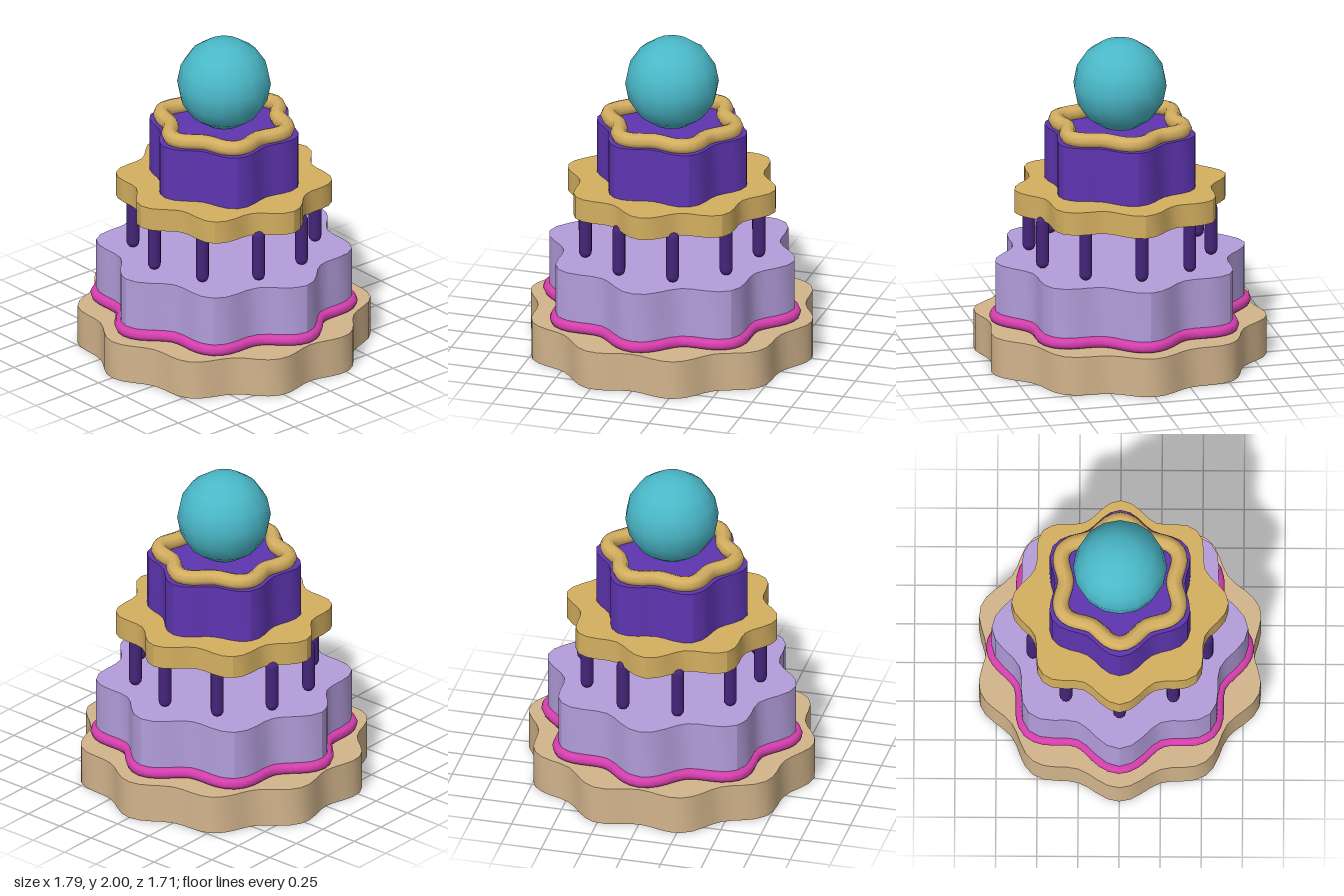
import * as THREE from 'three';
import { toCreasedNormals } from 'three/addons/utils/BufferGeometryUtils.js';

const mat = (name, color) => {
  const m = new THREE.MeshStandardMaterial({ color });
  m.name = name;
  return m;
};

// Points of a wavy ring: radius r, wave height a, number of lobes
function wave(r, a, lobes) {
  const pts = [], n = lobes * 8;
  for (let i = 0; i < n; i++) {
    const t = (i / n) * Math.PI * 2;
    const d = r + a * Math.cos(lobes * t);
    pts.push(new THREE.Vector2(d * Math.cos(t), d * Math.sin(t)));
  }
  return pts;
}

export function createModel() {
  const model = new THREE.Group();
  const tan = mat('tan', 0xd2b48c);
  const lavender = mat('lavender', 0xb39ddb);
  const pink = mat('pink', 0xd63fae);
  const gold = mat('gold', 0xd4af60);
  const purple = mat('purple', 0x5e35b1);
  const darkPurple = mat('dark purple', 0x45257a);
  const teal = mat('teal', 0x4ab8c8);

  const add = (name, geometry, material, y = 0) => {
    const mesh = new THREE.Mesh(geometry, material);
    mesh.name = name;
    mesh.position.y = y;
    model.add(mesh);
    return mesh;
  };

  // Scalloped slab from y0 to y1
  const tier = (name, material, y0, y1, r, a, lobes) => {
    const g = new THREE.ExtrudeGeometry(new THREE.Shape(wave(r, a, lobes)), { depth: y1 - y0, bevelEnabled: false });
    g.rotateX(-Math.PI / 2);
    add(name, toCreasedNormals(g, 0.5), material, y0);
  };

  // Piped cord following a scalloped outline
  const cord = (name, material, y, r, a, lobes, thick) => {
    const path = new THREE.CatmullRomCurve3(wave(r, a, lobes).map(p => new THREE.Vector3(p.x, 0, p.y)), true);
    add(name, new THREE.TubeGeometry(path, lobes * 12, thick, 8, true), material, y);
  };

  tier('base', tan, 0, 0.245, 0.853, 0.04, 10);
  tier('lowerTier', lavender, 0.245, 0.63, 0.72, 0.06, 8);
  cord('lowerTrim', pink, 0.28, 0.72, 0.06, 8, 0.036);
  tier('plate', gold, 0.94, 1.085, 0.61, 0.05, 8);
  tier('upperTier', purple, 1.085, 1.425, 0.435, 0.04, 6);
  cord('upperTrim', gold, 1.457, 0.365, 0.035, 6, 0.05);

  // Ring of ten rounded posts under the plate
  const postGeo = new THREE.CapsuleGeometry(0.04, 0.255, 4, 12);
  for (let i = 0; i < 10; i++) {
    const t = (i / 10) * Math.PI * 2;
    const post = add('post', postGeo, darkPurple, 0.798);
    post.position.x = 0.555 * Math.cos(t);
    post.position.z = 0.555 * Math.sin(t);
  }

  // Ball on top
  add('ball', new THREE.SphereGeometry(0.286, 16, 8), teal, 1.714);

  return model;
}
